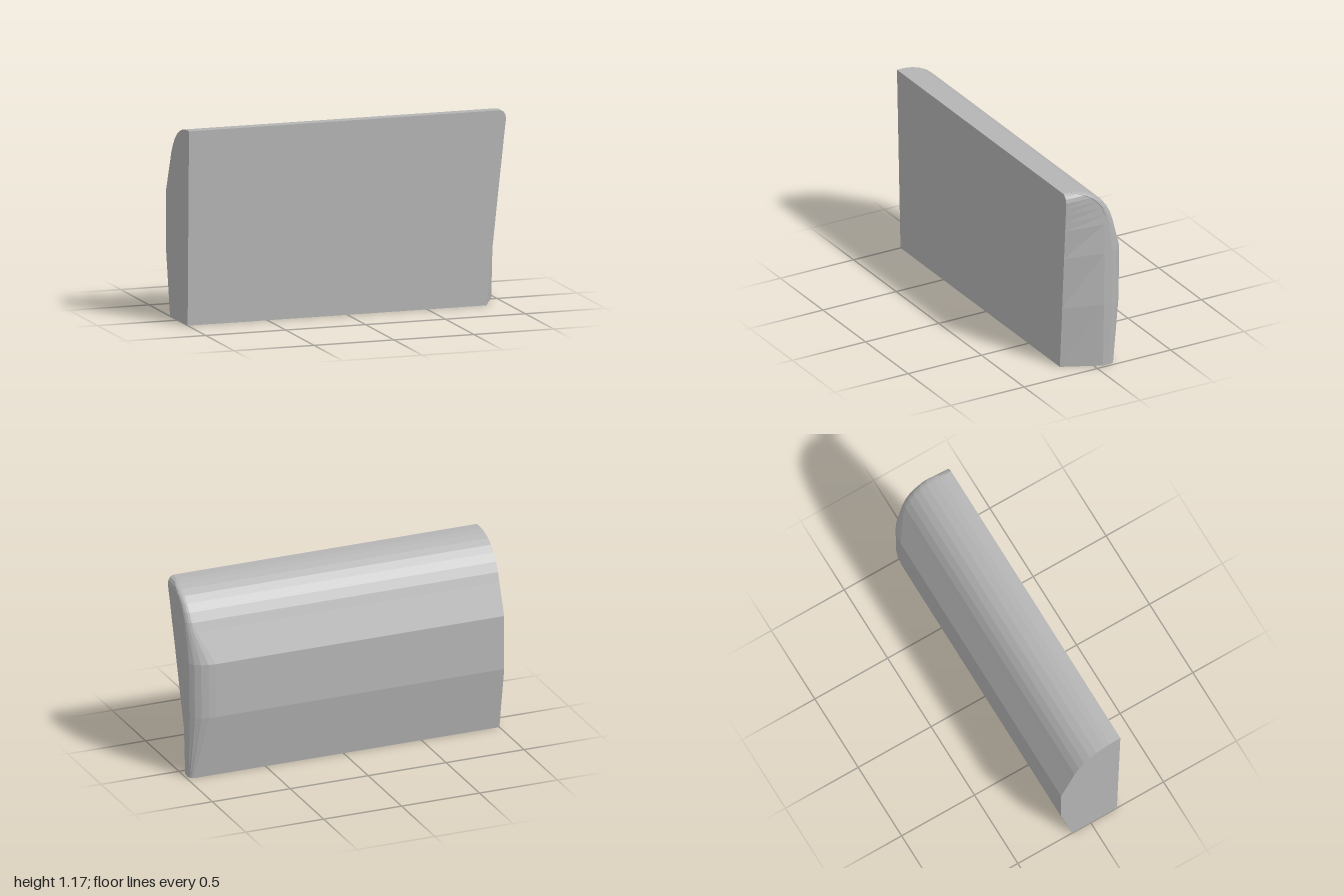
import * as THREE from 'three';

// Horizontal cross-sections, bottom to top:
// [height, back z, side x, front corner x, corner depth in z, corner depth in x]
const LEVELS = [
  [0, -0.13, 0.985, 0.87, 0.035, 0.03],
  [0.4, -0.203, 0.995, 0.911, 0.1, 0.15],
  [0.74, -0.203, 1.0, 0.945, 0.1, 0.15],
  [0.93, -0.13, 1.0, 0.965, 0.05, 0.06],
  [0.985, -0.11, 0.999, 0.97, 0.045, 0.05],
  [1.04, -0.08, 0.998, 0.976, 0.04, 0.045],
  [1.085, -0.045, 0.996, 0.981, 0.04, 0.04],
  [1.12, -0.005, 0.994, 0.985, 0.04, 0.04],
  [1.145, 0.04, 0.988, 0.98, 0.035, 0.035],
  [1.162, 0.09, 0.975, 0.97, 0.03, 0.025],
  [1.17, 0.13, 0.958, 0.956, 0.02, 0.015],
  [1.172, 0.16, 0.95, 0.95, 0.01, 0.01],
];
const CORNER_STEPS = 5;

// One closed outline, running counter-clockwise seen from above
function section([y, back, side, front, dz, dx]) {
  const zf = 0.18 + 0.024 * (y / 1.172);
  const midZ = Math.max(-0.05, back + dz + 0.005);
  const ring = [[-1, zf], [front, zf], [side - 0.003, midZ]];
  for (let i = 0; i <= CORNER_STEPS; i++) {
    const a = (i / CORNER_STEPS) * Math.PI / 2;
    ring.push([side - dx * (1 - Math.cos(a)), back + dz * (1 - Math.sin(a))]);
  }
  ring.push([-1, back]);
  return ring.map(([x, z]) => [x, y, z]);
}

function loft(rings) {
  const n = rings[0].length;
  const index = [];
  for (let i = 0; i < rings.length - 1; i++) {
    for (let j = 0; j < n; j++) {
      const k = (j + 1) % n;
      const a = i * n + j, b = i * n + k;
      index.push(a, b, b + n, a, b + n, a + n);
    }
  }
  // Flat caps below and above
  const top = (rings.length - 1) * n;
  for (let j = 1; j < n - 1; j++) {
    index.push(0, j + 1, j);
    index.push(top, top + j, top + j + 1);
  }
  const indexed = new THREE.BufferGeometry();
  indexed.setAttribute('position', new THREE.Float32BufferAttribute(rings.flat(2), 3));
  indexed.setIndex(index);
  const geometry = indexed.toNonIndexed();
  geometry.computeVertexNormals();
  return geometry;
}

export function createModel() {
  const group = new THREE.Group();
  group.name = 'cushionPanel';
  const grey = new THREE.MeshStandardMaterial({ color: 0xb4b4b4 });
  grey.name = 'light grey';

  // Solid panel: flat front, domed back, rounded and tapered right end
  const body = new THREE.Mesh(loft(LEVELS.map(section)), grey);
  body.name = 'panelBody';
  group.add(body);
  return group;
}
